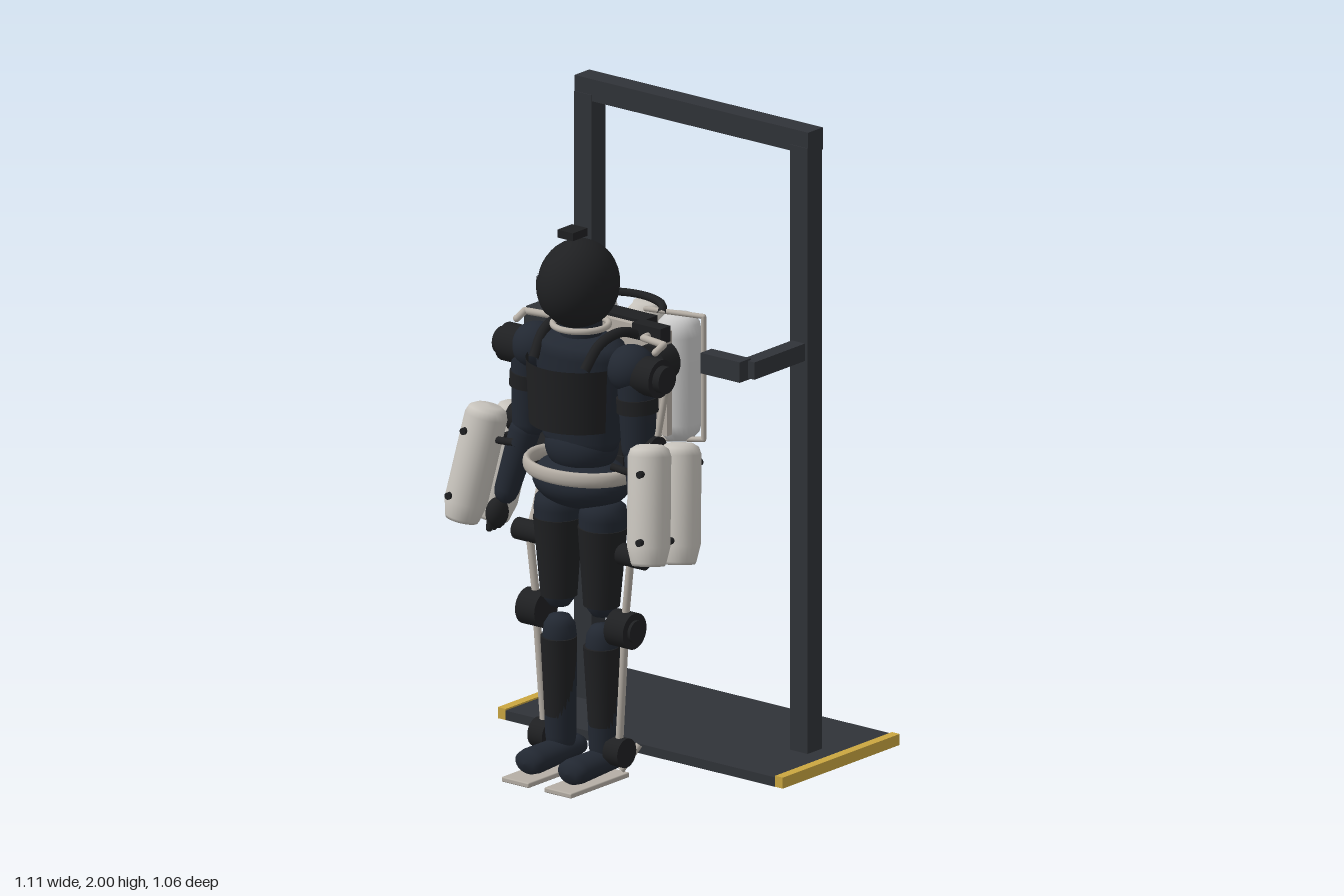
import * as THREE from 'three';
import { RoundedBoxGeometry } from 'three/addons/geometries/RoundedBoxGeometry.js';

const mat = (color, side = THREE.FrontSide) => new THREE.MeshStandardMaterial({ color, side });
const FRAME = mat(0x303338), BLACK = mat(0x1f2022), SUIT = mat(0x222832), LIGHT = mat(0xb5aea5);
const CASE = mat(0xc8c4bd), TANK = mat(0xd0d2d4), YELLOW = mat(0xcaa640), SHELL = mat(0x1f2022, THREE.DoubleSide);
const V = (x, y, z) => new THREE.Vector3(x, y, z);

export function createModel() {
  const root = new THREE.Group();
  const add = (name, geo, material, x = 0, y = 0, z = 0) => {
    const m = new THREE.Mesh(geo, material);
    m.name = name;
    m.position.set(x, y, z);
    root.add(m);
    return m;
  };
  // box given by its limits on each axis
  const box = (name, m, x0, x1, y0, y1, z0, z1) =>
    add(name, new THREE.BoxGeometry(Math.abs(x1 - x0), y1 - y0, z1 - z0), m, (x0 + x1) / 2, (y0 + y1) / 2, (z0 + z1) / 2);
  const ball = (name, m, x, y, z, rx, ry, rz) => {
    const b = add(name, new THREE.SphereGeometry(1, 32, 20), m, x, y, z);
    b.scale.set(rx, ry, rz);
    return b;
  };
  // turned profile standing between two points; profile is [radius, fraction of length]
  const turned = (name, m, a, b, profile) => {
    const len = a.distanceTo(b);
    const g = new THREE.LatheGeometry(profile.map(([r, t]) => new THREE.Vector2(r, t * len)), 28);
    const o = add(name, g, m, a.x, a.y, a.z);
    o.quaternion.setFromUnitVectors(V(0, 1, 0), b.clone().sub(a).normalize());
    return o;
  };
  const rod = (name, m, a, b, r, r2 = r) => {
    const mid = a.clone().lerp(b, 0.5);
    const o = add(name, new THREE.CylinderGeometry(r2, r, a.distanceTo(b), 24), m, mid.x, mid.y, mid.z);
    o.quaternion.setFromUnitVectors(V(0, 1, 0), b.clone().sub(a).normalize());
    return o;
  };
  const tube = (name, m, pts, r) =>
    add(name, new THREE.TubeGeometry(new THREE.CatmullRomCurve3(pts, false, 'centripetal'), 32, r, 8), m);
  const path = (name, m, pts, r) => {
    for (let i = 1; i < pts.length; i++) rod(name, m, pts[i - 1], pts[i], r);
    pts.forEach(p => ball(name + 'Joint', m, p.x, p.y, p.z, r, r, r));
  };
  const ring = (name, m, x, y, z, r, t, sz = 1, sh = 1) => {
    const o = add(name, new THREE.TorusGeometry(r, t, 10, 48).rotateX(Math.PI / 2), m, x, y, z);
    o.scale.set(1, sh, sz);
    return o;
  };
  const limb = [[0, 0], [0.6, 0.02], [0.9, 0.08], [1, 0.16], [1, 0.84], [0.9, 0.93], [0.6, 0.985], [0, 1]];
  const limbBetween = (name, m, a, b, r0, r1) =>
    turned(name, m, a, b, limb.map(([k, t]) => [k * (r0 + (r1 - r0) * t), t]));

  // storage stand
  box('basePlate', FRAME, -0.525, 0.525, 0, 0.03, -0.53, 0.03);
  box('topBeam', FRAME, -0.455, 0.455, 1.93, 2, -0.285, -0.215);

  // head, visor and neck
  ball('helmet', BLACK, 0, 1.565, 0.325, 0.119, 0.138, 0.135);
  const visor = add('visor', new THREE.SphereGeometry(1, 32, 12, Math.PI * 0.2, Math.PI * 0.6, 1.33, 0.85), SHELL, 0, 1.565, 0.325);
  visor.scale.set(0.122, 0.14, 0.139);
  box('headSensor', BLACK, -0.03, 0.03, 1.72, 1.745, 0.32, 0.39);
  ring('neckRing', LIGHT, 0, 1.435, 0.315, 0.085, 0.01);
  rod('neck', SUIT, V(0, 1.36, 0.31), V(0, 1.45, 0.315), 0.065);

  // torso and pelvis
  const torso = limbBetween('torso', SUIT, V(0, 1.02, 0.31), V(0, 1.41, 0.31), 0.13, 0.165);
  torso.scale.z = 0.68;
  add('chestPlate', new THREE.CylinderGeometry(0.165, 0.155, 0.2, 32, 1, true, -1.2, 2.4), SHELL, 0, 1.23, 0.318);
  ball('abdomen', SUIT, 0, 1.05, 0.31, 0.12, 0.09, 0.1);
  ball('pelvis', SUIT, 0, 0.94, 0.31, 0.165, 0.085, 0.125);
  ring('hipBand', LIGHT, 0, 0.985, 0.31, 0.18, 0.014, 0.8, 1.7);
  box('lumbarUnit', BLACK, -0.08, 0.08, 0.88, 1.0, 0.14, 0.21);
  box('lumbarSpine', BLACK, -0.07, 0.07, 1.0, 1.14, 0.1, 0.2);

  // backpack
  box('backPlate', LIGHT, -0.21, 0.21, 1.08, 1.41, 0.135, 0.16);
  box('packCore', BLACK, -0.1, 0.1, 1.14, 1.42, 0.07, 0.14);
  turned('centreBottle', CASE, V(0, 1.09, 0.003), V(0, 1.43, 0.003),
    [[0, 0], [0.035, 0], [0.042, 0.04], [0.064, 0.32], [0.064, 0.84], [0.058, 0.92], [0.042, 0.97], [0.038, 1], [0, 1]]);
  ring('bottleRing', LIGHT, 0, 1.255, 0.003, 0.073, 0.008);
  ring('lowerRing', LIGHT, 0, 1.025, 0.08, 0.09, 0.008);
  tube('carryHandle', BLACK, [V(-0.14, 1.44, 0.1), V(-0.1, 1.45, 0.05), V(0, 1.452, 0.02), V(0.1, 1.45, 0.05), V(0.14, 1.44, 0.1)], 0.013);

  for (const s of [1, -1]) {
    const P = (x, y, z) => V(s * x, y, z);
    const drum = (name, x0, x1, y, z, r, m = BLACK) => rod(name, m, P(x0, y, z), P(x1, y, z), r);

    // stand side
    box('edgeStrip', YELLOW, s * 0.525, s * 0.555, 0, 0.035, -0.53, 0.03);
    box('post', FRAME, s * 0.387, s * 0.455, 0.03, 1.95, -0.28, -0.212);
    box('supportArm', FRAME, s * 0.394, s * 0.445, 1.275, 1.33, -0.215, 0.03);
    box('supportPad', FRAME, s * 0.268, s * 0.42, 1.27, 1.335, 0.017, 0.07);

    // side tank and its tubular cage
    limbBetween('sideTank', TANK, P(0.162, 1.03, 0.043), P(0.162, 1.435, 0.043), 0.07, 0.07);
    path('packCage', LIGHT, [P(0.07, 1.44, 0.09), P(0.255, 1.44, 0.04), P(0.255, 1.05, 0.04), P(0.09, 1.03, 0.08)], 0.008);
    path('shoulderTube', LIGHT, [P(0.27, 1.39, 0.29), P(0.27, 1.405, 0.25), P(0.18, 1.405, 0.235), P(0.17, 1.405, 0.15)], 0.011);
    box('shoulderBracket', BLACK, s * 0.115, s * 0.225, 1.385, 1.435, 0.162, 0.21);
    rod('shoulderMotor', BLACK, P(0.185, 1.315, 0.14), P(0.185, 1.315, 0.215), 0.062);
    tube('shoulderStrap', BLACK, [P(0.1, 1.33, 0.42), P(0.11, 1.4, 0.36), P(0.12, 1.42, 0.27), P(0.13, 1.39, 0.18)], 0.016);

    // shoulder and arm
    ball('shoulder', SUIT, s * 0.185, 1.325, 0.3, 0.075, 0.075, 0.075);
    drum('shoulderJoint', 0.21, 0.3, 1.315, 0.3, 0.06);
    drum('shoulderCap', 0.3, 0.325, 1.315, 0.3, 0.042);
    limbBetween('upperArm', SUIT, P(0.215, 1.03, 0.3), P(0.205, 1.33, 0.3), 0.05, 0.062);
    rod('armCuff', BLACK, P(0.21, 1.195, 0.3), P(0.207, 1.24, 0.3), 0.064);
    drum('elbowJoint', 0.23, 0.28, 1.08, 0.29, 0.045);
    rod('armStrut', LIGHT, P(0.295, 1.27, 0.27), P(0.265, 1.09, 0.28), 0.01);
    limbBetween('forearm', SUIT, P(0.275, 0.82, 0.35), P(0.215, 1.09, 0.3), 0.036, 0.05);
    ball('hand', BLACK, s * 0.285, 0.79, 0.365, 0.032, 0.048, 0.04);
    for (const i of [-1, 0, 1])
      limbBetween('finger', BLACK, P(0.295, 0.735, 0.37 + i * 0.022), P(0.288, 0.8, 0.365 + i * 0.022), 0.011, 0.011);
    tube('canisterCradle', BLACK, [P(0.19, 1.04, 0.4), P(0.27, 1.03, 0.385), P(0.29, 1.02, 0.31), P(0.26, 1.03, 0.22), P(0.2, 1.04, 0.2)], 0.012);

    // paired forearm canisters with small studs
    for (const [y, z] of [[1.13, 0.37], [1.1, 0.225]]) {
      const a = P(0.364, y - 0.36, z + 0.068), b = P(0.313, y, z);
      turned('armCanister', CASE, a, b,
        [[0, 0], [0.05, 0], [0.054, 0.025], [0.066, 0.16], [0.066, 0.9], [0.058, 0.96], [0.04, 0.99], [0, 1]]);
      for (const [t, dz] of [[0.24, 1], [0.8, z > 0.3 ? 1 : -1]]) {
        const c = a.clone().lerp(b, t).add(V(s * 0.02, 0, 0));
        rod('canisterStud', BLACK, c, c.clone().add(V(0, 0, dz * 0.076)), 0.011);
      }
    }

    // hip and leg
    drum('hipMotor', 0.19, 0.265, 0.955, 0.19, 0.055);
    rod('hipLink', LIGHT, P(0.2, 0.97, 0.2), P(0.185, 0.985, 0.29), 0.012);
    path('hipStrut', LIGHT, [P(0.225, 0.95, 0.2), P(0.212, 0.8, 0.27), P(0.205, 0.735, 0.31)], 0.011);
    limbBetween('thigh', SUIT, P(0.083, 0.52, 0.315), P(0.088, 0.9, 0.315), 0.05, 0.08);
    rod('thighPlate', BLACK, P(0.083, 0.56, 0.317), P(0.087, 0.81, 0.317), 0.056, 0.076);
    drum('thighJoint', 0.155, 0.25, 0.735, 0.31, 0.034);
    rod('thighStrut', LIGHT, P(0.197, 0.73, 0.318), P(0.172, 0.52, 0.315), 0.012);
    drum('kneeJoint', 0.135, 0.21, 0.5, 0.315, 0.057);
    drum('kneeCap', 0.21, 0.22, 0.5, 0.315, 0.035);
    limbBetween('shin', SUIT, P(0.085, 0.04, 0.305), P(0.083, 0.5, 0.315), 0.046, 0.054);
    rod('shinPlate', BLACK, P(0.085, 0.18, 0.31), P(0.083, 0.43, 0.318), 0.047, 0.056);
    rod('shinStrut', LIGHT, P(0.172, 0.48, 0.315), P(0.145, 0.11, 0.31), 0.012);
    drum('ankleJoint', 0.118, 0.175, 0.105, 0.31, 0.046);
    rod('heelStrut', LIGHT, P(0.15, 0.105, 0.22), P(0.12, 0.03, 0.27), 0.011);

    // foot
    const boot = limbBetween('boot', SUIT, P(0.083, 0.068, 0.21), P(0.083, 0.062, 0.485), 0.046, 0.055);
    boot.scale.z = 0.75;
    add('sole', new RoundedBoxGeometry(0.106, 0.016, 0.28, 2, 0.004), LIGHT, s * 0.083, 0.014, 0.388);
  }
  return root;
}
